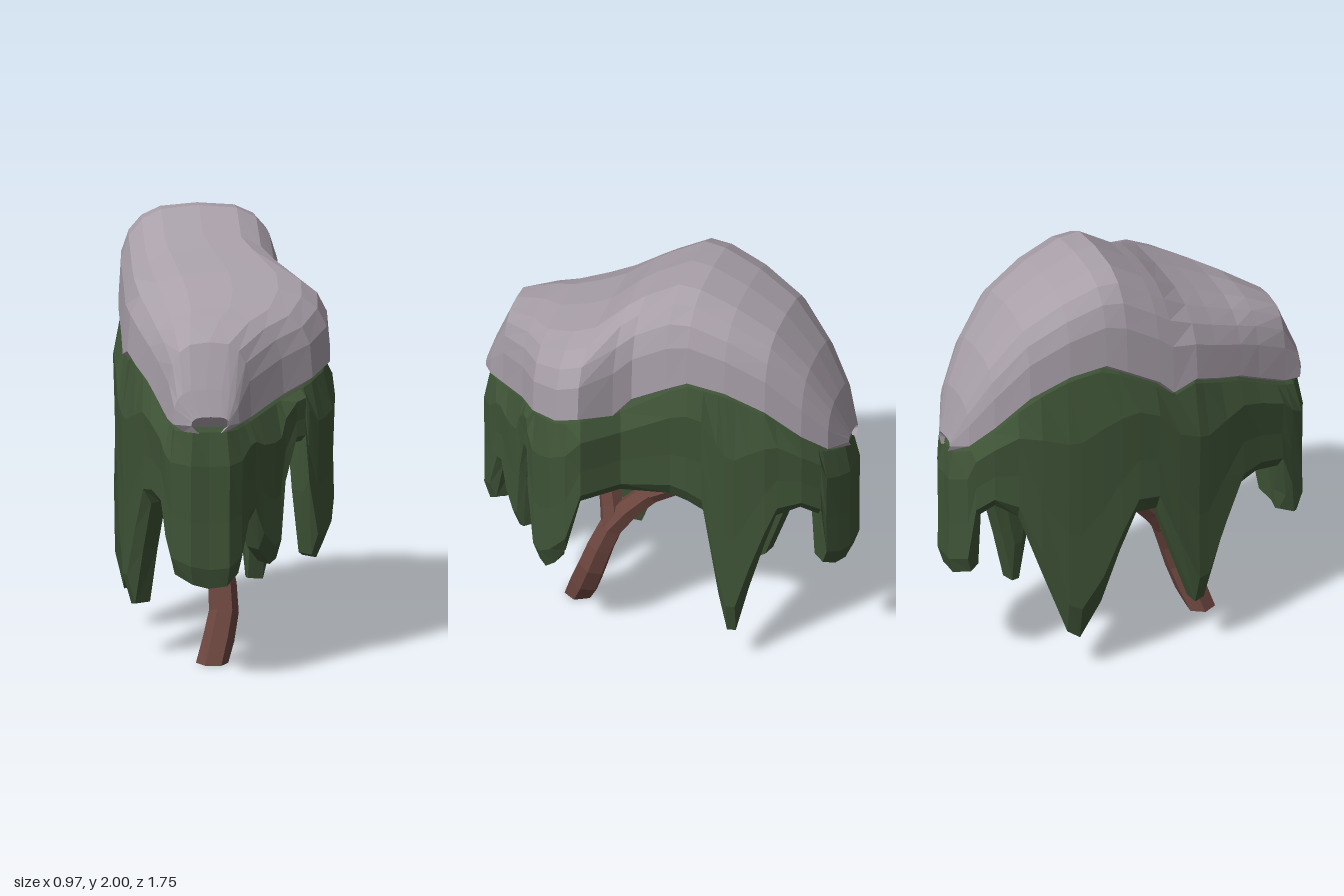
import * as THREE from 'three';

// Canopy stations, front to back: z, right-hand x range, snow rim height, crown height
const stations = [
  [0.87, -0.22, -0.05, 1.2, 1.24], [0.83, -0.3, 0, 1.2, 1.36], [0.75, -0.32, 0.06, 1.21, 1.56],
  [0.6, -0.36, 0.22, 1.28, 1.63], [0.5, -0.39, 0.36, 1.33, 1.66], [0.36, -0.43, 0.45, 1.37, 1.72],
  [0.25, -0.46, 0.46, 1.41, 1.77], [0.13, -0.47, 0.33, 1.37, 1.86], [0.06, -0.47, 0.27, 1.44, 1.9],
  [-0.1, -0.47, 0.26, 1.53, 2], [-0.2, -0.46, 0.25, 1.58, 1.99], [-0.37, -0.44, 0.23, 1.55, 1.92],
  [-0.55, -0.4, 0.19, 1.46, 1.81], [-0.7, -0.34, 0.12, 1.31, 1.62], [-0.8, -0.28, 0.04, 1.21, 1.42],
  [-0.86, -0.2, -0.08, 1.18, 1.21],
];

// Hanging hem on each side, front to back: z, height
const hemPlusX = [
  [0.87, 0.45], [0.82, 0.5], [0.77, 0.72], [0.74, 0.73], [0.7, 0.58], [0.65, 0.5], [0.62, 0.52],
  [0.6, 0.82], [0.56, 1.04], [0.53, 1.04], [0.52, 0.8], [0.48, 0.5], [0.44, 0.48], [0.38, 0.54],
  [0.31, 0.64], [0.24, 0.93], [0.1, 0.93], [-0.12, 0.93], [-0.2, 0.9], [-0.27, 0.86], [-0.34, 0.4],
  [-0.38, 0.2], [-0.42, 0.2], [-0.48, 0.45], [-0.55, 0.7], [-0.6, 0.86], [-0.7, 0.9], [-0.77, 0.84],
  [-0.79, 0.56], [-0.83, 0.52], [-0.86, 0.52],
];
const hemMinusX = [
  [0.87, 0.46], [0.82, 0.5], [0.77, 0.6], [0.72, 0.77], [0.6, 0.79], [0.5, 0.76], [0.4, 0.52],
  [0.3, 0.25], [0.25, 0.24], [0.15, 0.5], [0.05, 0.78], [-0.05, 0.78], [-0.13, 0.6], [-0.22, 0.35],
  [-0.32, 0.18], [-0.38, 0.22], [-0.5, 0.55], [-0.6, 0.84], [-0.7, 0.9], [-0.77, 0.84], [-0.8, 0.55],
  [-0.86, 0.52],
];

const V = (x, y, z) => new THREE.Vector3(x, y, z);

// Interpolate a station at depth z
function stationAt(z) {
  for (let i = 1; i < stations.length; i++) {
    const a = stations[i - 1], b = stations[i];
    if (z >= b[0]) {
      const t = (a[0] - z) / (a[0] - b[0]);
      return a.map((v, k) => THREE.MathUtils.lerp(v, b[k], t));
    }
  }
  return stations[stations.length - 1];
}

// Surface through rows of points; closed joins the last column to the first
function loft(rows, closed) {
  const n = rows[0].length, index = [];
  for (let i = 0; i < rows.length - 1; i++) {
    for (let j = 0; j < (closed ? n : n - 1); j++) {
      const k = (j + 1) % n;
      const a = i * n + j, b = i * n + k, c = b + n, d = a + n;
      index.push(a, d, c, a, c, b);
    }
  }
  const geo = new THREE.BufferGeometry().setFromPoints(rows.flat());
  geo.setIndex(index);
  geo.computeVertexNormals();
  return geo;
}

// Snow: boxy arches lofted front to back, with a lip folded under the rim
function snowGeometry() {
  const arch = ([z, x0, x1, rim, top], lipDrop) => {
    const cx = (x0 + x1) / 2, hw = (x1 - x0) / 2, pts = [];
    const power = 2 / 3.1, segments = 10;
    for (let i = 0; i <= segments; i++) {
      const a = (i / segments) * Math.PI, c = Math.cos(a), s = Math.max(0, Math.sin(a));
      pts.push(V(cx + hw * Math.sign(c) * Math.abs(c) ** power, rim + (top - rim) * s ** power, z));
    }
    const lip = Math.min(0.05, hw * 0.4);
    return [V(x1 - lip, rim - lipDrop, z), ...pts, V(x0 + lip, rim - lipDrop, z)];
  };
  return loft([
    arch([0.82, -0.22, -0.05, 1.165, 1.165], 0),
    ...stations.map((s) => arch(s, 0.035)),
    arch([-0.81, -0.2, -0.08, 1.145, 1.145], 0),
  ], false);
}

// Foliage: thick curtain around the outline, hanging in strands, hollow and domed inside
function foliageGeometry() {
  const column = (side) => ([z, hem]) => {
    const s = stationAt(z);
    return { x: s[side], z, rim: s[3], hem };
  };
  const loop = [
    { x: -0.14, z: 0.87, rim: 1.2, hem: 0.44 },
    ...hemPlusX.map(column(2)),
    { x: -0.14, z: -0.86, rim: 1.18, hem: 0.52 },
    ...hemMinusX.map(column(1)).reverse(),
  ];
  const n = loop.length;
  // Inward direction from a smoothed tangent
  loop.forEach((p, i) => {
    const a = loop[(i + n - 2) % n], b = loop[(i + 2) % n];
    const dx = b.x - a.x, dz = b.z - a.z, len = Math.hypot(dx, dz);
    p.nx = dz / len;
    p.nz = -dx / len;
  });
  const row = (height, inset) => loop.map((p) => {
    const d = inset(p);
    return V(p.x + p.nx * d, height(p), p.z + p.nz * d);
  });
  const drop = (t) => (p) => THREE.MathUtils.lerp(p.rim, p.hem, t);
  // Sides swell a little past the snow; the two ends stay flush
  const swell = (p) => -0.025 * Math.abs(p.nx);
  const dome = (y, scale) => loop.map((p) => V(-0.1 + (p.x + 0.1) * scale, y, p.z * scale));
  return loft([
    row((p) => p.rim + 0.02, () => 0.06),
    row((p) => p.rim - 0.035, () => 0.02),
    row(drop(0.25), swell),
    row(drop(0.6), (p) => 0.6 * swell(p)),
    row(drop(0.88), (p) => 0.8 * swell(p)),
    row((p) => p.hem, () => 0.02),
    row((p) => p.hem + 0.005, () => 0.09),
    row((p) => Math.min(1.08, p.hem + 0.2), () => 0.11),
    row(() => 1.1, () => 0.11),
    dome(1.2, 0.5),
    dome(1.22, 0.02),
  ], true);
}

// Tapered six-sided limb along a curve, closed at both ends
function limbGeometry(points, r0, r1) {
  const curve = new THREE.CatmullRomCurve3(points.map((p) => V(...p)));
  const steps = 7, sides = 6, frames = curve.computeFrenetFrames(steps, false);
  const ring = (i, scale) => {
    const center = curve.getPointAt(i / steps);
    const r = THREE.MathUtils.lerp(r0, r1, i / steps) * scale;
    return Array.from({ length: sides }, (_, j) => {
      const a = (-j / sides) * Math.PI * 2;
      const p = center.clone()
        .addScaledVector(frames.normals[i], Math.cos(a) * r)
        .addScaledVector(frames.binormals[i], Math.sin(a) * r);
      if (p.y < 0.05) p.y = 0;
      return p;
    });
  };
  const rows = [ring(0, 0.001)];
  for (let i = 0; i <= steps; i++) rows.push(ring(i, 1));
  rows.push(ring(steps, 0.001));
  return loft(rows, true);
}

export function createModel() {
  const model = new THREE.Group();
  model.name = 'snowyWeepingTree';
  const material = (color) =>
    new THREE.MeshStandardMaterial({ color, flatShading: true, side: THREE.DoubleSide });
  const snow = material(0xa89fa9), leaves = material(0x3f5437), bark = material(0x6c463f);
  const add = (name, geometry, mat) => {
    const mesh = new THREE.Mesh(geometry, mat);
    mesh.name = name;
    model.add(mesh);
  };

  add('snowCap', snowGeometry(), snow);
  add('hangingFoliage', foliageGeometry(), leaves);

  // Leaning trunk and its branches
  add('trunk', limbGeometry([[-0.09, 0, 0.43], [-0.03, 0.22, 0.35], [-0.05, 0.46, 0.26],
    [-0.08, 0.6, 0.14], [-0.09, 0.71, 0.03]], 0.075, 0.05), bark);
  add('frontBranch', limbGeometry([[-0.05, 0.45, 0.26], [-0.09, 0.62, 0.29], [-0.12, 0.82, 0.34],
    [-0.12, 1.2, 0.36]], 0.058, 0.035), bark);
  add('upperBranch', limbGeometry([[-0.09, 0.66, 0.05], [-0.1, 0.8, 0.01], [-0.1, 1.2, -0.05]],
    0.045, 0.03), bark);
  add('backBranch', limbGeometry([[-0.08, 0.66, 0.08], [-0.08, 0.73, -0.04], [-0.04, 0.82, -0.27],
    [0, 0.96, -0.58], [0, 1.04, -0.72]], 0.05, 0.025), bark);

  return model;
}
